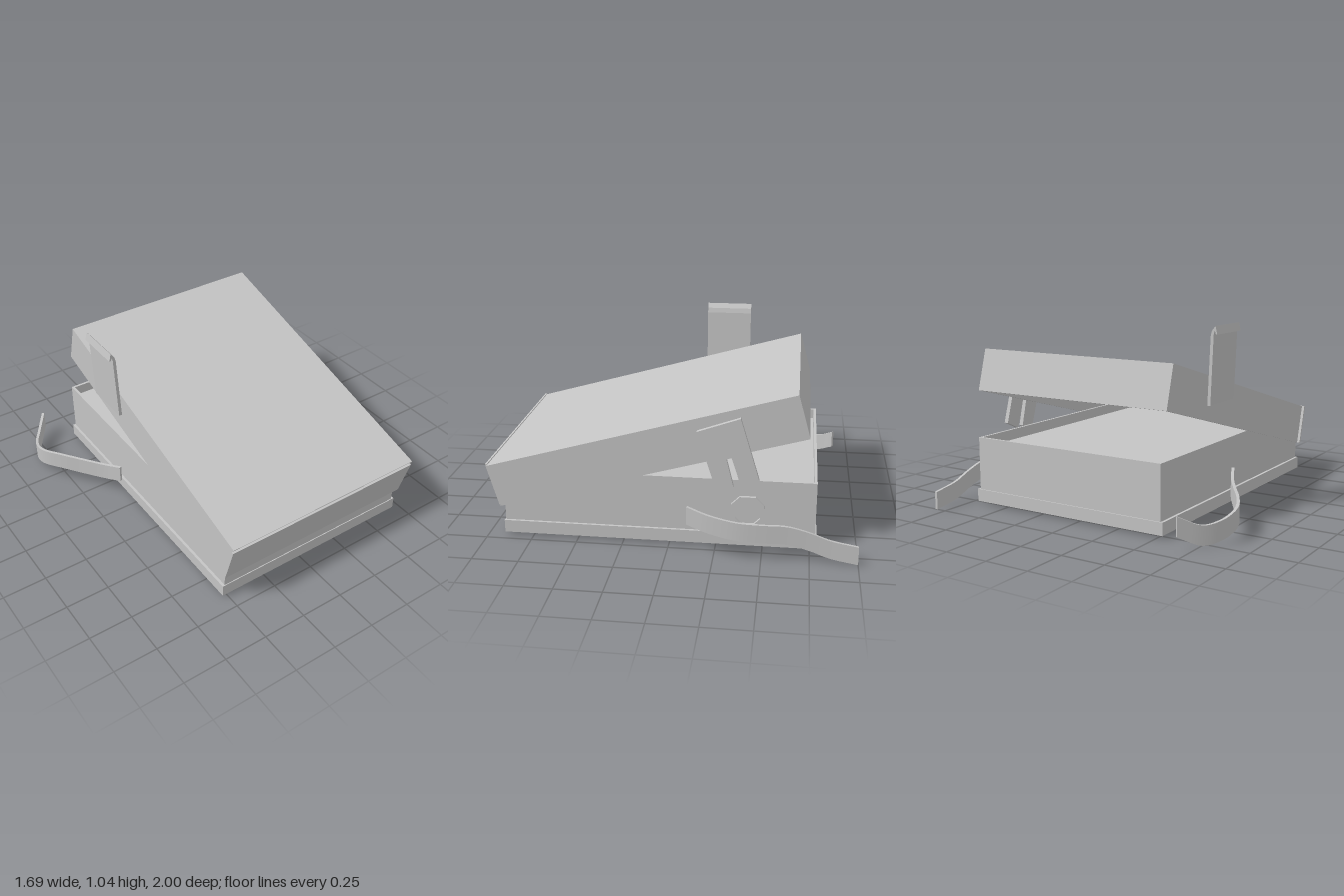
import * as THREE from 'three';

const grey = new THREE.MeshStandardMaterial({ color: 0xc4c4c4 });
grey.name = 'plain grey';

function add(parent, name, geometry) {
  const mesh = new THREE.Mesh(geometry, grey);
  mesh.name = name;
  parent.add(mesh);
  return mesh;
}

// Box given by its limits on each axis
function box(parent, name, [x0, x1], [y0, y1], [z0, z1]) {
  const mesh = add(parent, name, new THREE.BoxGeometry(x1 - x0, y1 - y0, z1 - z0));
  mesh.position.set((x0 + x1) / 2, (y0 + y1) / 2, (z0 + z1) / 2);
  return mesh;
}

// Four thin walls around a rectangle
function walls(parent, name, [x0, x1], y, [z0, z1], t) {
  box(parent, name + 'Left', [x1 - t, x1], y, [z0, z1]);
  box(parent, name + 'Right', [x0, x0 + t], y, [z0, z1]);
  box(parent, name + 'Front', [x0 + t, x1 - t], y, [z1 - t, z1]);
  box(parent, name + 'Back', [x0 + t, x1 - t], y, [z0, z0 + t]);
}

function shapeOf(points) {
  return new THREE.Shape(points.map(p => new THREE.Vector2(...p)));
}

// Side plate: shape drawn as (-z, y), extruded along +x from x0
function sidePlate(parent, name, shape, x0, thickness) {
  const g = new THREE.ExtrudeGeometry(shape, { depth: thickness, bevelEnabled: false });
  g.rotateY(Math.PI / 2);
  add(parent, name, g).position.x = x0;
}

// Upright strap bent along a curve
function strap(parent, name, points, height, thickness) {
  const curve = new THREE.CatmullRomCurve3(points.map(p => new THREE.Vector3(...p)));
  const g = new THREE.BoxGeometry(1, height, thickness, 40, 1, 1);
  const pos = g.attributes.position;
  const up = new THREE.Vector3(0, 1, 0);
  for (let i = 0; i < pos.count; i++) {
    const t = THREE.MathUtils.clamp(pos.getX(i) + 0.5, 0, 1);
    const side = curve.getTangent(t).cross(up).normalize();
    const p = curve.getPoint(t).addScaledVector(side, pos.getZ(i)).addScaledVector(up, pos.getY(i));
    pos.setXYZ(i, p.x, p.y, p.z);
  }
  g.computeVertexNormals();
  add(parent, name, g);
}

function octagon(cy, cx, w, h, c) {
  return [
    [cx - w, cy - h + c], [cx - w + c, cy - h], [cx + w - c, cy - h], [cx + w, cy - h + c],
    [cx + w, cy + h - c], [cx + w - c, cy + h], [cx - w + c, cy + h], [cx - w, cy + h - c],
  ];
}

export function createModel() {
  const model = new THREE.Group();
  model.name = 'openCase';

  // Base: plinth, body walls, tray floor and underside
  const base = new THREE.Group();
  base.name = 'base';
  model.add(base);
  walls(base, 'plinth', [-0.53, 0.7], [0.02, 0.09], [-0.785, 0.91], 0.035);
  walls(base, 'bodyWall', [-0.515, 0.685], [0.09, 0.39], [-0.778, 0.905], 0.015);
  box(base, 'trayFloor', [-0.5, 0.67], [0.315, 0.33], [-0.763, 0.89]);
  box(base, 'underside', [-0.5, 0.67], [0.085, 0.1], [-0.763, 0.89]);

  // Slanting battens under the base
  for (const z of [0.56, 0.18, -0.17, -0.53]) {
    const batten = box(base, 'batten', [-0.526, 0.696], [0.03, 0.088], [z - 0.01, z + 0.01]);
    batten.rotation.y = -Math.atan2(0.355, 1.17);
  }

  // Lid: open below, tilted up at the back, with a loose front panel
  const lid = new THREE.Group();
  lid.name = 'lid';
  lid.position.set(0, 0.41, 1);
  lid.rotation.x = Math.atan2(0.47, 1.665);
  model.add(lid);
  box(lid, 'lidTop', [-0.52, 0.72], [-0.015, 0], [-1.73, -0.016]);
  walls(lid, 'lidWall', [-0.52, 0.72], [-0.24, -0.015], [-1.73, -0.016], 0.015);
  box(lid, 'lidFrontPanel', [-0.535, 0.695], [-0.24, 0.003], [-0.013, 0]);

  // Hooked plate on the right
  const hook = shapeOf([
    [-0.558, 0.62], [-0.54, 0.62], [-0.556, 0.99], [-0.563, 1.018], [-0.584, 1.045],
    [-0.595, 1.0], [-0.587, 1.0], [-0.58, 1.02], [-0.574, 1.0],
  ]);
  add(model, 'hookPlate', new THREE.ExtrudeGeometry(hook, { depth: 0.27, bevelEnabled: false }))
    .position.z = -0.347;

  // Slotted plate and ring on the left
  sidePlate(model, 'slottedPlate', shapeOf([
    [0.152, 0.674], [0.265, 0.33], [0.345, 0.38], [0.307, 0.53],
    [0.334, 0.54], [0.388, 0.374], [0.479, 0.417], [0.377, 0.754],
  ]), 0.73, 0.025);
  const ring = shapeOf(octagon(0.217, 0.419, 0.087, 0.088, 0.045));
  ring.holes.push(shapeOf(octagon(0.217, 0.419, 0.066, 0.067, 0.034)));
  sidePlate(model, 'ring', ring, 0.695, 0.018);

  // Curled straps
  strap(model, 'leftStrap', [
    [0.777, 0.215, -0.105], [0.81, 0.187, -0.22], [0.833, 0.165, -0.37], [0.831, 0.158, -0.5],
    [0.82, 0.152, -0.63], [0.813, 0.12, -0.75], [0.811, 0.083, -0.85], [0.814, 0.056, -1.0],
  ], 0.1, 0.016);
  strap(model, 'rightStrap', [
    [-0.568, 0.183, -0.09], [-0.62, 0.155, -0.2], [-0.7, 0.142, -0.33], [-0.785, 0.135, -0.46],
    [-0.83, 0.12, -0.55], [-0.842, 0.105, -0.62], [-0.82, 0.08, -0.71],
    [-0.765, 0.07, -0.8], [-0.68, 0.125, -0.9],
  ], 0.103, 0.016);

  return model;
}
